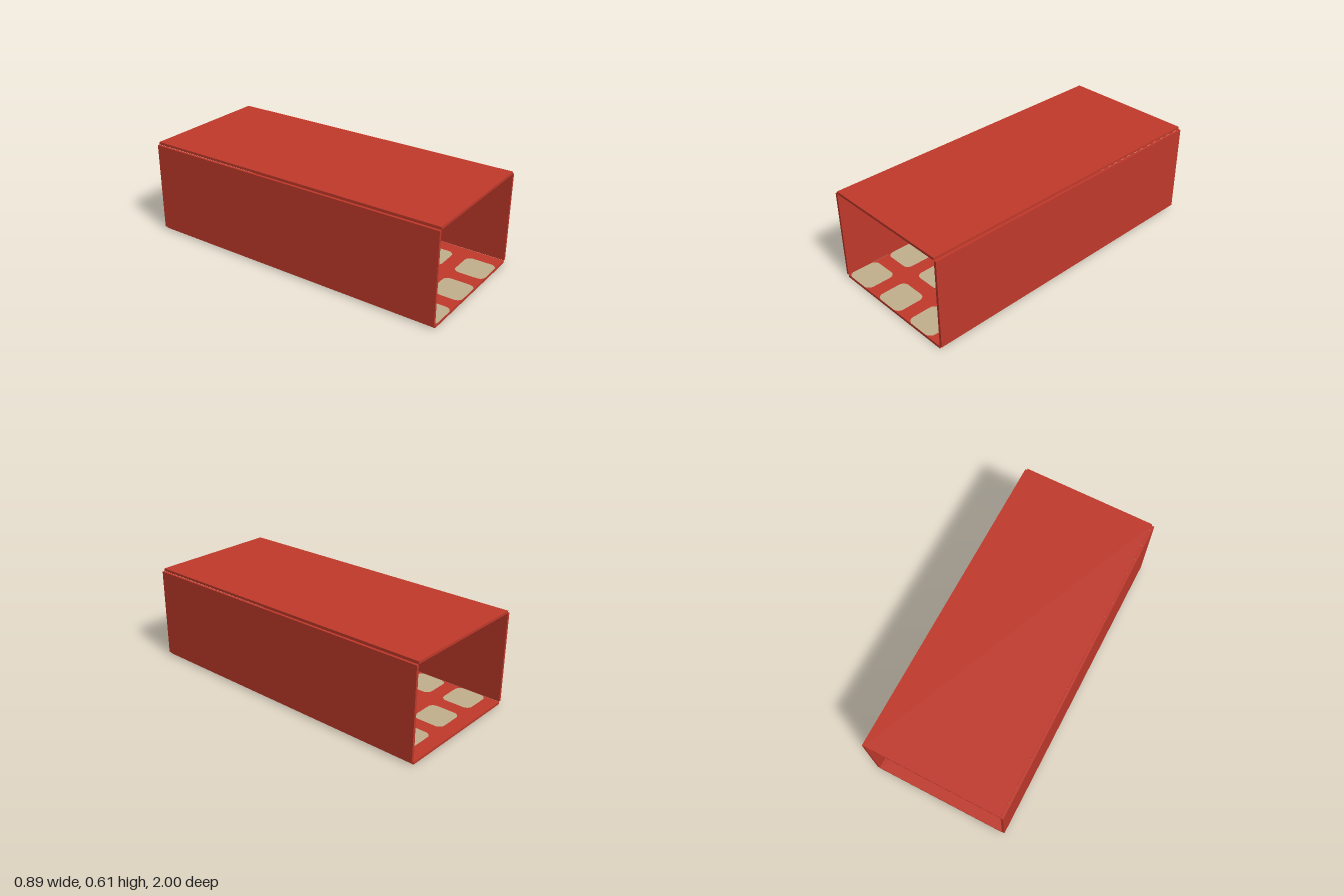
import * as THREE from 'three';

const HALF_W = 0.428, THICK = 0.016, LENGTH = 2, LIFT = 0.0006;

// Square with rounded corners, half size a, corner radius r
function roundedSquare(a, r) {
  const s = new THREE.Shape();
  s.moveTo(-a + r, -a);
  s.lineTo(a - r, -a);
  s.absarc(a - r, -a + r, r, -Math.PI / 2, 0);
  s.absarc(a - r, a - r, r, 0, Math.PI / 2);
  s.absarc(-a + r, a - r, r, Math.PI / 2, Math.PI);
  s.absarc(-a + r, -a + r, r, Math.PI, Math.PI * 1.5);
  return s;
}

export function createModel() {
  const red = new THREE.MeshStandardMaterial({ color: 0xc0392b });
  red.name = 'red';
  const beige = new THREE.MeshStandardMaterial({ color: 0xc2b08c });
  beige.name = 'beige';

  const model = new THREE.Group();
  model.name = 'openBox';

  const panel = (name, w, h, x, y) => {
    const mesh = new THREE.Mesh(new THREE.BoxGeometry(w, h, LENGTH), red);
    mesh.name = name;
    mesh.position.set(x, y, 0);
    model.add(mesh);
  };

  // Four panels forming a sleeve open at front and back
  panel('floorPanel', HALF_W * 2, THICK, 0, THICK / 2 + LIFT);
  panel('roofPanel', HALF_W * 2, THICK, 0, 0.597);
  for (const [name, side] of [['leftWall', 1], ['rightWall', -1]]) {
    panel(name, THICK, 0.57, side * (HALF_W + THICK / 2), 0.303);
  }

  // Rounded patches on both faces of the floor, 3 across and 7 along,
  // starting flush with the right front corner
  const patches = new THREE.Group();
  patches.name = 'floorPatches';
  const patchGeometry = new THREE.ShapeGeometry(roundedSquare(0.098, 0.04), 5);
  const columns = 3, rows = 7;
  for (let i = 0; i < columns; i++) {
    for (let j = 0; j < rows; j++) {
      const x = -0.33 + i * (2 * HALF_W / columns);
      const z = 0.9 - j * (LENGTH / rows);
      for (const up of [true, false]) {
        const patch = new THREE.Mesh(patchGeometry, beige);
        patch.name = up ? 'upperPatch' : 'lowerPatch';
        patch.rotation.x = up ? -Math.PI / 2 : Math.PI / 2;
        patch.position.set(x, up ? THICK + 2 * LIFT : 0, z);
        patches.add(patch);
      }
    }
  }
  model.add(patches);
  return model;
}
